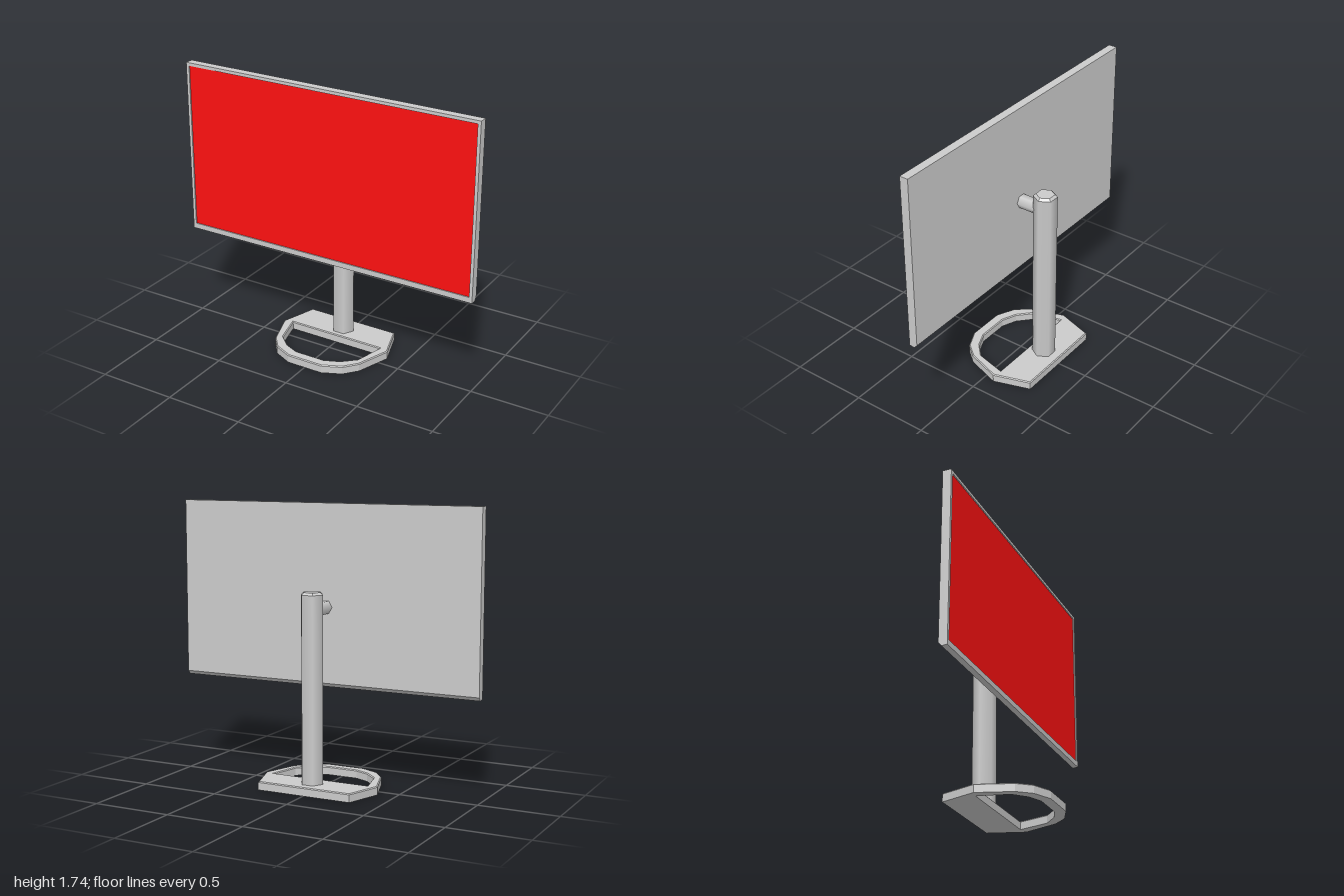
import * as THREE from 'three';

const grey = new THREE.MeshStandardMaterial({ color: 0xcccccc });
const greyFlat = new THREE.MeshStandardMaterial({ color: 0xcccccc, flatShading: true });
const red = new THREE.MeshStandardMaterial({ color: 0xff1111 });

// Closed outline from the points of its +x half, mirrored to -x
const mirrored = (half) => [
  ...half.map(([x, y]) => new THREE.Vector2(x, y)),
  ...[...half].reverse().map(([x, y]) => new THREE.Vector2(-x, y)),
];

const rect = (w, y0, y1) => mirrored([[w, y0], [w, y1]]);

export function createModel() {
  const model = new THREE.Group();
  const add = (name, geometry, material, x = 0, y = 0, z = 0) => {
    const mesh = new THREE.Mesh(geometry, material);
    mesh.name = name;
    mesh.position.set(x, y, z);
    model.add(mesh);
    return mesh;
  };

  // Base: faceted loop with a D-shaped opening (shape y is -z), top edges bevelled
  const outline = new THREE.Shape(mirrored([
    [0.12, -0.29], [0.24, -0.235], [0.31, -0.15], [0.385, 0.07], [0.31, 0.3],
  ]));
  outline.holes.push(new THREE.Path(mirrored([
    [0.1, -0.225], [0.195, -0.185], [0.275, -0.11], [0.325, 0.083],
  ])));
  const bevel = 0.006;
  const base = new THREE.ExtrudeGeometry(outline, {
    depth: 0.047, bevelThickness: bevel, bevelSize: bevel, bevelOffset: -bevel, bevelSegments: 1,
  });
  base.rotateX(-Math.PI / 2);
  // Flatten the lower bevel so the base sits flat
  const p = base.attributes.position;
  for (let i = 0; i < p.count; i++) p.setY(i, Math.max(0, p.getY(i)));
  base.computeVertexNormals();
  add('base', base, greyFlat);

  // Six-sided column with a bevelled cap
  const hex = (top, bottom, height, open) =>
    new THREE.CylinderGeometry(top, bottom, height, 6, 1, open, Math.PI / 2);
  add('column', hex(0.073, 0.073, 1.165, true), grey, 0, 0.6225, -0.18);
  add('columnCap', hex(0.057, 0.073, 0.015, false), greyFlat, 0, 1.2125, -0.18);

  // Arm joining the column to the panel
  const arm = hex(0.044, 0.044, 0.135, false);
  arm.rotateX(Math.PI / 2);
  add('arm', arm, grey, 0, 1.11, -0.0625);

  // Panel housing: side profile (x is -z) swept across the width, lower edge bevelled
  const profile = new THREE.Shape([
    [-0.04, 0.62], [-0.015, 0.617], [0.005, 0.64], [0.005, 1.74], [-0.04, 1.74],
  ].map(([x, y]) => new THREE.Vector2(x, y)));
  const housing = new THREE.ExtrudeGeometry(profile, { depth: 2, bevelEnabled: false });
  housing.translate(0, 0, -1);
  housing.rotateY(Math.PI / 2);
  add('housing', housing, greyFlat);

  // Bezel around the slightly recessed screen
  const bezel = new THREE.Shape(rect(1, 0.62, 1.74));
  bezel.holes.push(new THREE.Path(rect(0.98, 0.655, 1.72)));
  add('bezel', new THREE.ExtrudeGeometry(bezel, { depth: 0.01, bevelEnabled: false }),
    greyFlat, 0, 0, 0.04);

  add('screen', new THREE.PlaneGeometry(1.96, 1.065), red, 0, 1.1875, 0.043);

  return model;
}
